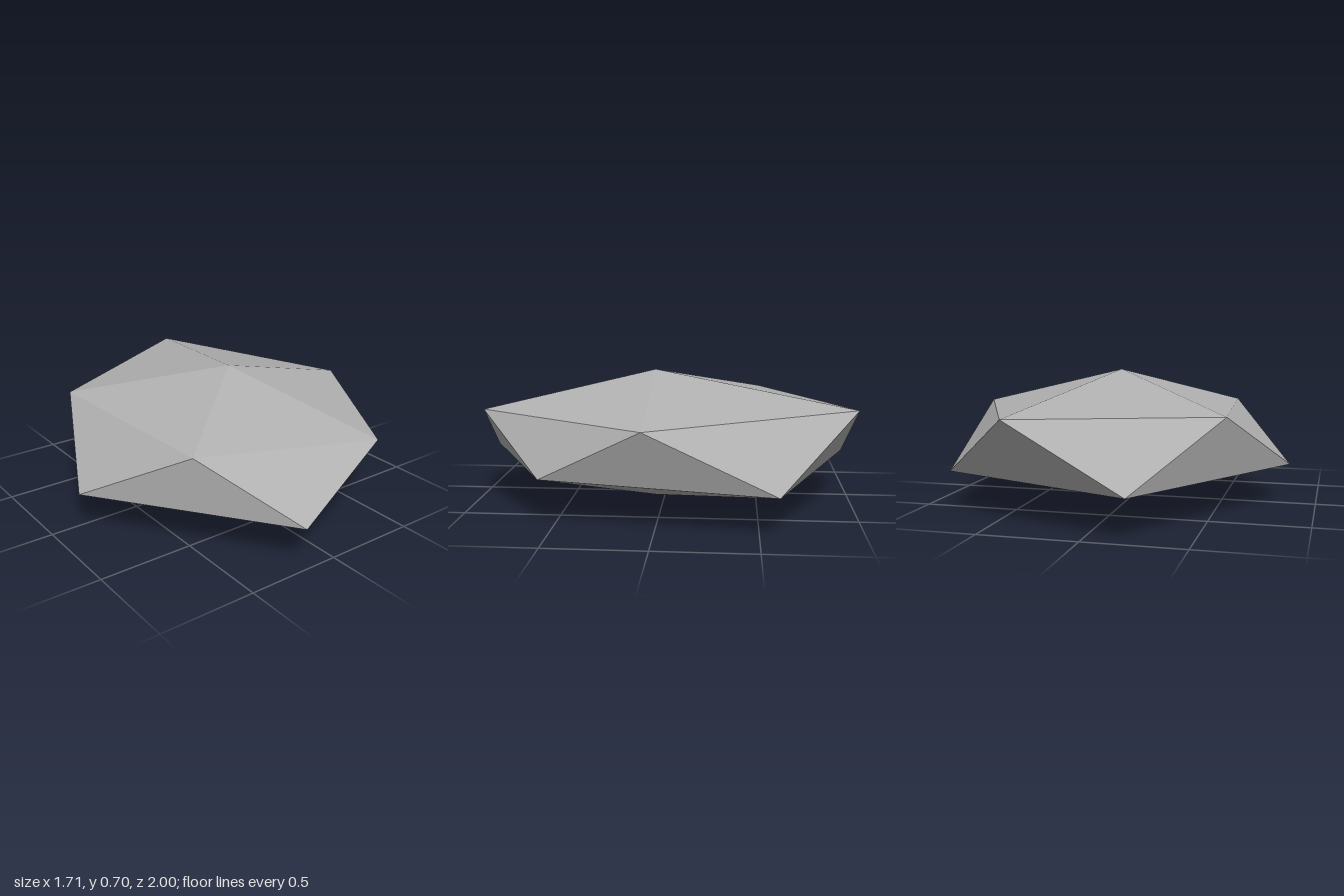
import * as THREE from 'three';

export function createModel() {
  const group = new THREE.Group();
  group.name = 'rock';

  const stone = new THREE.MeshStandardMaterial({ color: 0xb0b0b0, flatShading: true });
  stone.name = 'grey stone';

  // Two staggered rings of corners between a top and a bottom point
  const top = [0.08, 0.7, 0.05];
  const bottom = [0.08, 0, 0.05];
  const upper = [
    [0.855, 0.51, 0.05], [0.325, 0.512, 0.93], [-0.51, 0.5, 0.55],
    [-0.59, 0.52, -0.525], [0.368, 0.538, -1],
  ];
  const lower = [
    [0.692, 0.235, 0.57], [-0.185, 0.218, 1], [-0.858, 0.203, 0.045],
    [-0.21, 0.205, -0.99], [0.825, 0.205, -0.59],
  ];

  // Top fan, zigzag belt and bottom fan
  const corners = [];
  for (let i = 0; i < 5; i++) {
    const j = (i + 1) % 5;
    corners.push(
      top, upper[j], upper[i],
      upper[i], upper[j], lower[i],
      lower[i], upper[j], lower[j],
      bottom, lower[i], lower[j],
    );
  }
  const geometry = new THREE.BufferGeometry();
  geometry.setAttribute('position', new THREE.Float32BufferAttribute(corners.flat(), 3));
  geometry.computeVertexNormals();

  const boulder = new THREE.Mesh(geometry, stone);
  boulder.name = 'boulder';
  group.add(boulder);
  return group;
}
